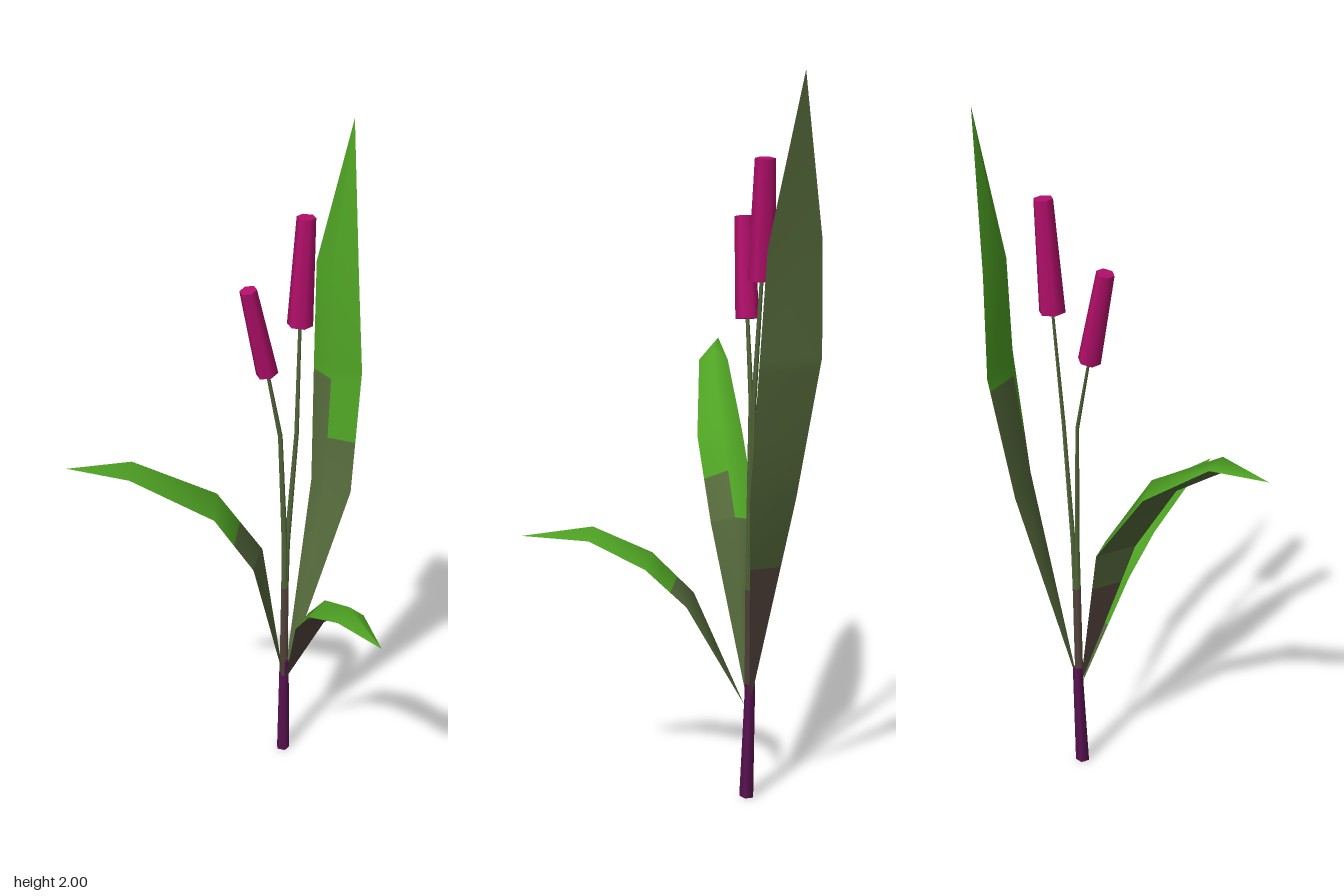
import * as THREE from 'three';

const mat = (name, color) => {
  const m = new THREE.MeshStandardMaterial({ color });
  m.name = name;
  return m;
};

export function createModel() {
  const group = new THREE.Group();
  const bright = mat('leaf green', 0x4fa324);
  const olive = mat('olive green', 0x566b3c);
  const brown = mat('brown', 0x584840);
  const purple = mat('purple', 0x5a1252);
  const pink = mat('magenta', 0xb20f6a);

  // Tapered prism between two points
  function rod(name, a, b, rA, rB, sides, material) {
    const from = new THREE.Vector3(...a), to = new THREE.Vector3(...b);
    const dir = to.clone().sub(from);
    const mesh = new THREE.Mesh(new THREE.CylinderGeometry(rB, rA, dir.length(), sides), material);
    mesh.name = name;
    mesh.position.copy(from).add(to).multiplyScalar(0.5);
    mesh.quaternion.setFromUnitVectors(new THREE.Vector3(0, 1, 0), dir.normalize());
    group.add(mesh);
  }

  // Leaf with a raised midrib above and a flat underside.
  // rings: [left edge, midrib, right edge]; cuts: ring positions where the colour changes
  function leaf(name, root, rings, tip, [cutLeft, cutRight, cutUnder]) {
    const all = [[root, root, root], ...rings, [tip, tip, tip]]
      .map(r => r.map(p => new THREE.Vector3(...p)));
    const last = all.length - 1;
    const ts = [...new Set([...all.keys(), cutLeft, cutRight, cutUnder])].sort((a, b) => a - b);
    const at = (t, c) => {
      const i = Math.min(Math.floor(t), last - 1);
      return all[i][c].clone().lerp(all[i + 1][c], t - i);
    };
    const pos = [], index = [];
    // five columns: three above, two below
    ts.forEach(t => [0, 1, 2, 2, 0].forEach(c => pos.push(...at(t, c).toArray())));
    const geo = new THREE.BufferGeometry();
    const strips = [[0, 1, cutLeft, 1, 0], [1, 2, cutRight, 1, 0], [3, 4, cutUnder, 2, 1]];
    for (const [l, r, cut, before, after] of strips) {
      for (let i = 0; i < ts.length - 1; i++) {
        const a = i * 5 + l, b = i * 5 + r, c = b + 5, d = a + 5;
        geo.addGroup(index.length, 6, ts[i] < cut ? before : after);
        index.push(a, b, c, a, c, d);
      }
    }
    geo.setAttribute('position', new THREE.Float32BufferAttribute(pos, 3));
    geo.setIndex(index);
    geo.computeVertexNormals();
    const mesh = new THREE.Mesh(geo, [bright, olive, brown]);
    mesh.name = name;
    group.add(mesh);
  }

  // Main stem
  rod('stem', [0.215, 0, -0.22], [0.217, 0.33, -0.227], 0.021, 0.015, 5, purple);

  // Bent stalks, each carrying a flower spike
  const stalks = [
    { path: [[0.213, 0.28, -0.222], [0.213, 0.6, -0.22], [0.212, 0.75, -0.22], [0.195, 1.12, -0.222], [0.15, 1.34, -0.212]],
      top: [0.09, 1.6, -0.203], radii: [0.032, 0.025] },
    { path: [[0.219, 0.28, -0.226], [0.219, 0.6, -0.226], [0.222, 0.75, -0.226], [0.246, 1.12, -0.226], [0.257, 1.46, -0.243]],
      top: [0.272, 1.77, -0.248], radii: [0.037, 0.027] },
  ];
  const stalkRadii = [0.011, 0.01, 0.009, 0.007, 0.005];
  for (const { path, top, radii } of stalks) {
    for (let i = 0; i < path.length - 1; i++) {
      rod('stalk', path[i], path[i + 1], stalkRadii[i], stalkRadii[i + 1], 4, i ? olive : brown);
    }
    const base = path[path.length - 1].slice();
    base[1] -= 0.006;
    rod('flowerSpike', base, top, ...radii, 6, pink);
  }

  // Leaves
  leaf('sideLeaf', [0.215, 0.27, -0.22], [
    [[0.08, 0.75, -0.12], [0.13, 0.775, -0.185], [0.105, 0.76, -0.247]],
    [[-0.05, 0.965, -0.085], [-0.02, 1.012, -0.15], [-0.045, 0.98, -0.21]],
    [[-0.29, 1.135, -0.095], [-0.27, 1.17, -0.135], [-0.26, 1.14, -0.177]],
  ], [-0.45, 1.17, -0.155], [1.5, 1.02, 0.75]);

  leaf('frontLeaf', [0.217, 0.27, -0.21], [
    [[0.275, 0.57, -0.05], [0.235, 0.6, -0.07], [0.185, 0.57, -0.045]],
    [[0.29, 0.68, 0.06], [0.24, 0.715, 0.042], [0.185, 0.68, 0.06]],
    [[0.29, 0.76, 0.21], [0.25, 0.79, 0.2], [0.21, 0.755, 0.215]],
  ], [0.27, 0.77, 0.39], [1.4, 0.55, 1.7]);

  leaf('tallLeaf', [0.22, 0.27, -0.225], [
    [[0.337, 0.89, -0.335], [0.35, 0.9, -0.26], [0.413, 0.9, -0.21]],
    [[0.36, 1.27, -0.394], [0.376, 1.28, -0.293], [0.444, 1.28, -0.23]],
    [[0.36, 1.57, -0.39], [0.374, 1.57, -0.307], [0.432, 1.56, -0.247]],
  ], [0.44, 2, -0.335], [1.9, 1.42, 0.68]);

  return group;
}
